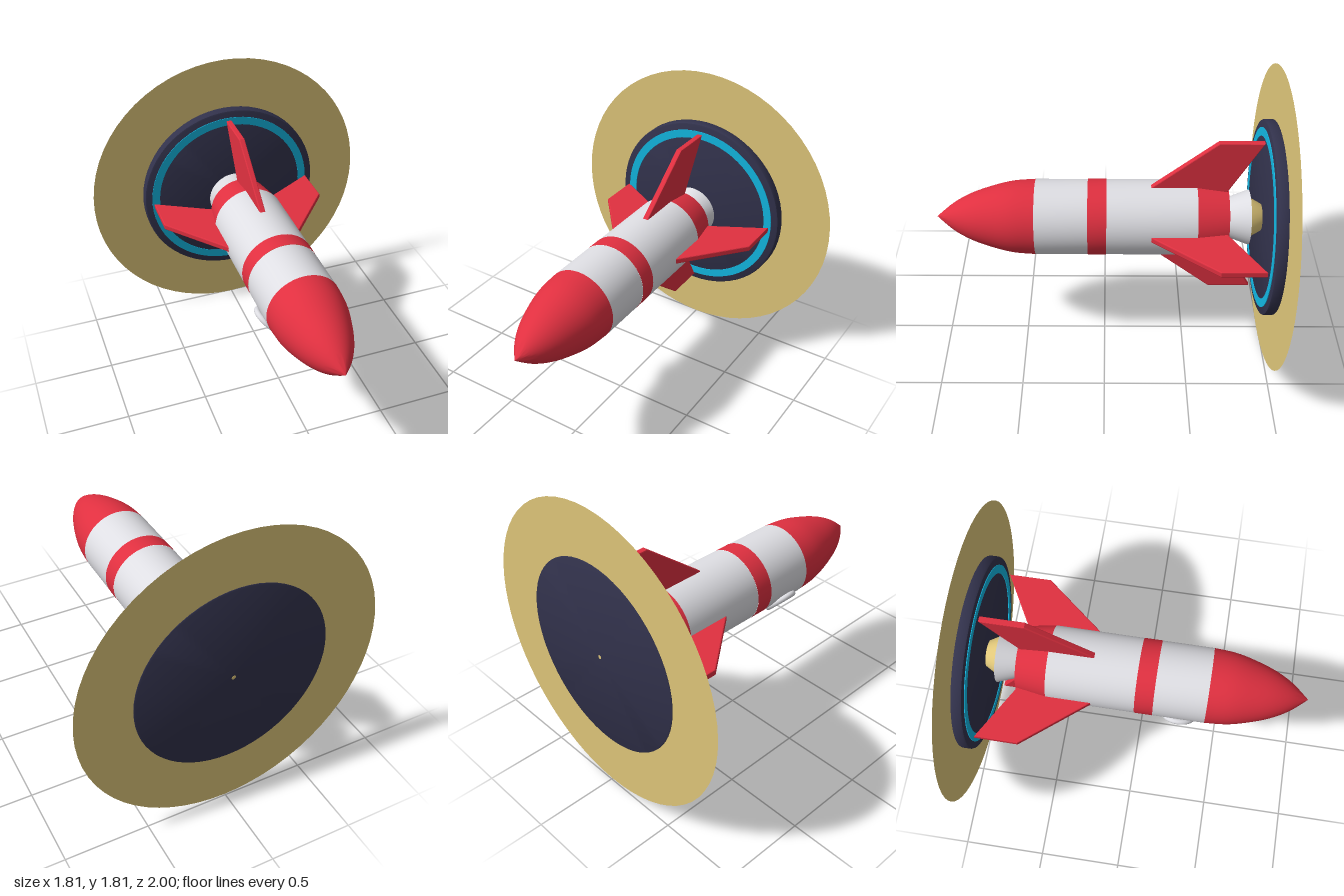
import * as THREE from 'three';
import { toCreasedNormals } from 'three/addons/utils/BufferGeometryUtils.js';

const paint = (name, color, extra = {}) => {
  const m = new THREE.MeshStandardMaterial({ color, ...extra });
  m.name = name;
  return m;
};

export function createModel() {
  const white = paint('white', 0xdedee3);
  const red = paint('red', 0xe03040);
  const navy = paint('navy', 0x32324c);
  const cyan = paint('cyan', 0x12b8e3);
  const gold = paint('gold', 0xe0c77a, { side: THREE.DoubleSide });

  const model = new THREE.Group();
  model.name = 'rocket';
  // Built along local y (nose up), then laid so the nose points to +z
  const body = new THREE.Group();
  body.name = 'rocketBody';
  body.rotation.x = Math.PI / 2;
  body.position.y = 0.907;
  model.add(body);

  const add = (name, geometry, material, parent = body) => {
    const mesh = new THREE.Mesh(geometry, material);
    mesh.name = name;
    parent.add(mesh);
    return mesh;
  };
  // Turned part from [radius, height] pairs, bottom to top
  const turned = (name, points, material, segments = 48) =>
    add(name, toCreasedNormals(new THREE.LatheGeometry(
      points.map(([r, y]) => new THREE.Vector2(r, y)), segments), 0.5), material);

  // Fuselage
  turned('lowerHull', [[0.225, -0.54], [0.225, -0.01]], white);
  turned('redBand', [[0.226, -0.01], [0.226, 0.1]], red);
  turned('upperHull', [[0.225, 0.1], [0.225, 0.41]], white);
  turned('tail', [[0, -0.725], [0.195, -0.725], [0.225, -0.54]], red);
  const noseCurve = new THREE.SplineCurve([
    [0.225, 0.41], [0.215, 0.54], [0.187, 0.66], [0.142, 0.79], [0.082, 0.9], [0, 1],
  ].map(([r, y]) => new THREE.Vector2(r, y)));
  turned('noseCone', noseCurve.getPoints(20).map((p) => [Math.max(p.x, 0), p.y]), red);

  // Engine bell and flame
  turned('nozzle', [[0, -0.855], [0.165, -0.855], [0.115, -0.72]], white);
  turned('flame', [[0, -1], [0.012, -0.9995], [0.08, -0.93], [0.125, -0.85]], gold, 24);

  // Four swept fins
  const finShape = new THREE.Shape([
    [0.19, -0.71], [0.22, -0.725], [0.524, -0.898], [0.524, -0.65], [0.22, -0.275], [0.19, -0.275],
  ].map(([x, y]) => new THREE.Vector2(x, y)));
  const finGeometry = new THREE.ExtrudeGeometry(finShape, {
    depth: 0.024, bevelThickness: 0.006, bevelSize: 0.006, bevelSegments: 2,
  });
  finGeometry.translate(0, 0, -0.012);
  for (let i = 0; i < 4; i++) add('fin', finGeometry, red).rotation.y = (i * Math.PI) / 2;

  // Porthole on the lower right side
  const porthole = new THREE.Group();
  porthole.name = 'porthole';
  porthole.rotation.y = -Math.PI / 4;
  body.add(porthole);
  add('portholeFrame', new THREE.TorusGeometry(0.086, 0.018, 12, 32), white, porthole)
    .position.set(0, 0.255, 0.225);
  const glass = add('portholeGlass', new THREE.CylinderGeometry(0.084, 0.084, 0.009, 32), cyan, porthole);
  glass.rotation.x = Math.PI / 2;
  glass.position.set(0, 0.255, 0.232);

  // Round base with a glowing ring and a wide halo disc
  turned('basePad', [
    [0, -0.999], [0.57, -0.999], [0.579, -0.995], [0.583, -0.986],
    [0.583, -0.943], [0.579, -0.934], [0.57, -0.93], [0, -0.93],
  ], navy, 64);
  turned('glowRing', [[0.536, -0.93], [0.536, -0.926], [0.485, -0.926], [0.485, -0.93]], cyan, 64);
  const halo = add('haloDisc', new THREE.RingGeometry(0.56, 0.907, 64), gold);
  halo.rotation.x = -Math.PI / 2;
  halo.position.y = -0.993;

  return model;
}
